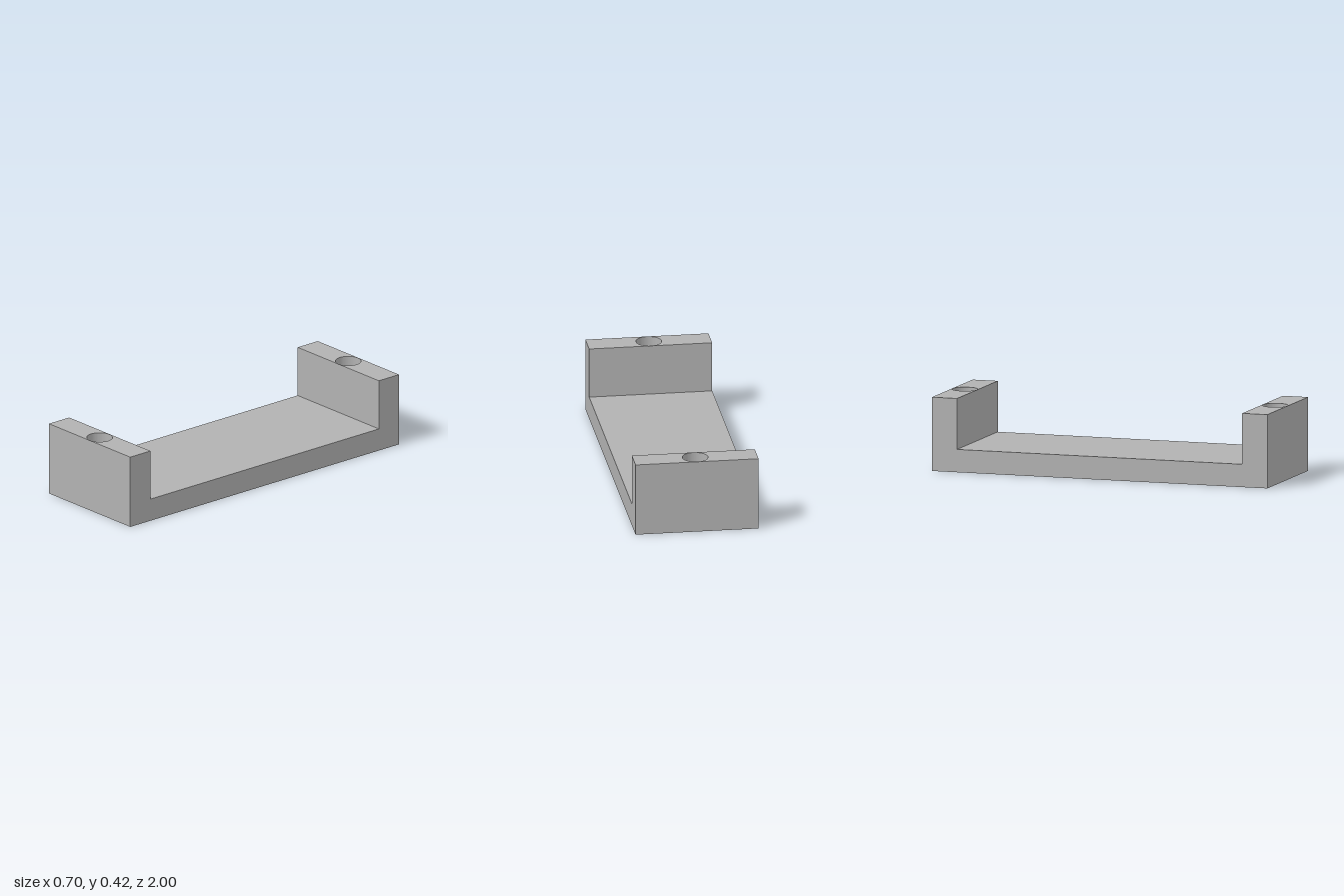
import * as THREE from 'three';

const WIDTH = 0.7, HEIGHT = 0.42, FLOOR = 0.13, WALL = 0.15, HOLE = 0.0725;

export function createModel() {
  const group = new THREE.Group();
  group.name = 'mountingBracket';
  const grey = new THREE.MeshStandardMaterial({ color: 0xb2b2b2 });
  grey.name = 'grey';

  // Upright end block with a vertical screw hole through its full height
  const outline = new THREE.Shape();
  outline.moveTo(-WIDTH / 2, -WALL / 2);
  outline.lineTo(WIDTH / 2, -WALL / 2);
  outline.lineTo(WIDTH / 2, WALL / 2);
  outline.lineTo(-WIDTH / 2, WALL / 2);
  outline.closePath();
  outline.holes.push(new THREE.Path().absarc(0, 0, HOLE, 0, Math.PI * 2, true));
  const blockGeometry = new THREE.ExtrudeGeometry(outline, {
    depth: HEIGHT, bevelEnabled: false, curveSegments: 32,
  });
  blockGeometry.rotateX(-Math.PI / 2);

  for (const [name, side] of [['frontEndBlock', 1], ['backEndBlock', -1]]) {
    const block = new THREE.Mesh(blockGeometry, grey);
    block.name = name;
    block.position.z = side * (1 - WALL / 2);
    group.add(block);
  }

  // Floor plate between the blocks; its hidden end faces are left out
  const floorGeometry = new THREE.BoxGeometry(WIDTH, FLOOR, 2 - 2 * WALL);
  floorGeometry.setIndex(Array.from(floorGeometry.index.array.slice(0, 24)));
  floorGeometry.clearGroups();
  const floor = new THREE.Mesh(floorGeometry, grey);
  floor.name = 'floorPlate';
  floor.position.y = FLOOR / 2;
  group.add(floor);

  return group;
}
